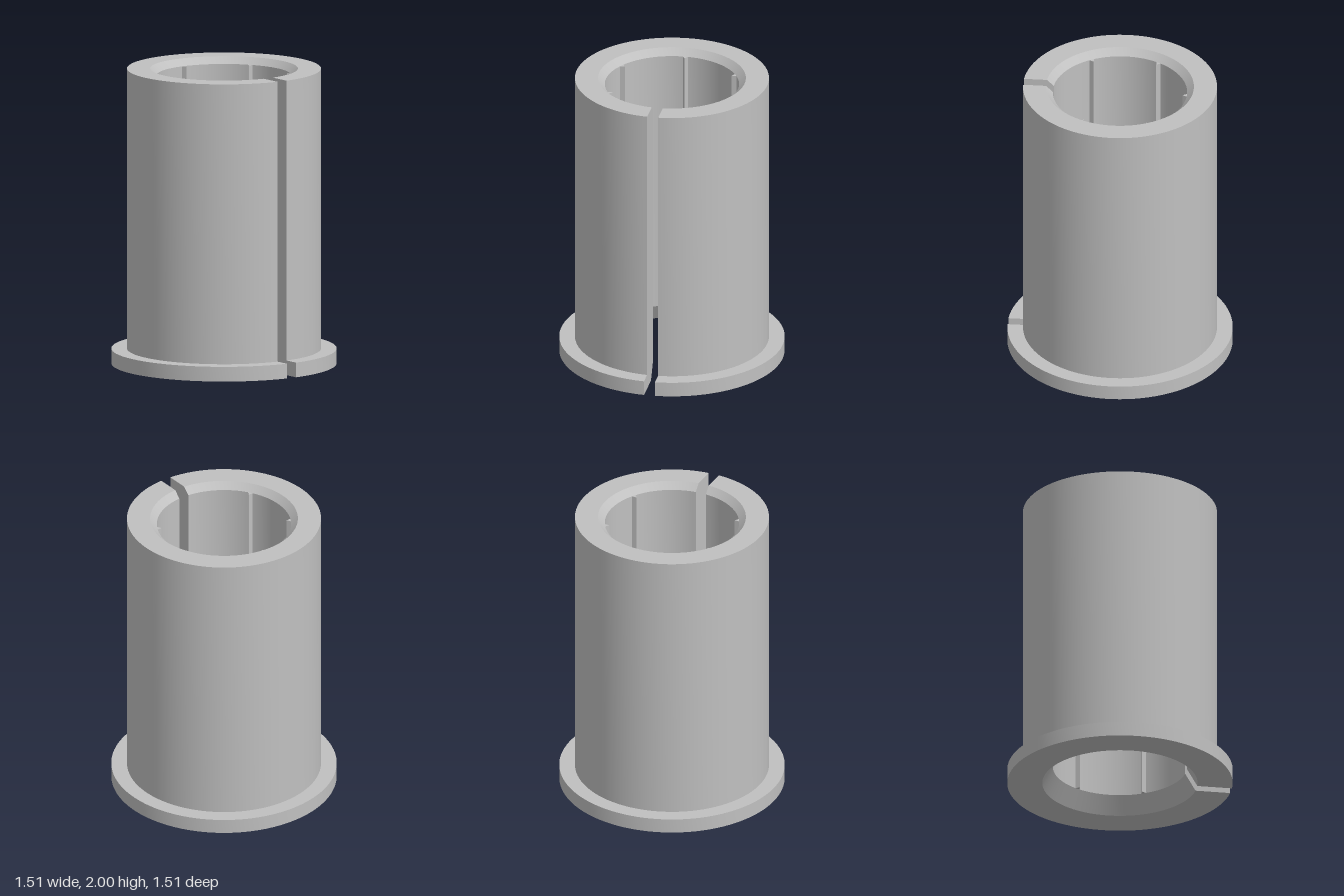
import * as THREE from 'three';

const HALF_SLOT = 0.0375;
const SEGMENTS = 96;

// Closed section, counter-clockwise: [radius, height, name of the surface that starts here]
const PROFILE = [
  [0.52, 0, 'flangeUnderside'],
  [0.755, 0, 'flangeRim'],
  [0.755, 0.1, 'flangeTop'],
  [0.65, 0.1, 'sleeveOuterWall'],
  [0.65, 2, 'sleeveTopRing'],
  [0.495, 2, 'topChamfer'],
  [0.45, 1.955, 'boreWall'],
  [0.45, 0.12, 'bottomChamfer'],
];

// Revolve one edge of the section, stopping at the parallel sides of the slot
function slottedBand(a, b) {
  const geo = new THREE.LatheGeometry(
    [new THREE.Vector2(a[0], a[1]), new THREE.Vector2(b[0], b[1])], SEGMENTS);
  const pos = geo.attributes.position;
  for (let i = 0; i < pos.count; i++) {
    const r = (i % 2 ? b : a)[0];
    const t = Math.floor(i / 2) / SEGMENTS;
    const start = Math.asin(HALF_SLOT / r);
    const phi = start + t * (2 * Math.PI - 2 * start);
    pos.setXYZ(i, r * Math.sin(phi), pos.getY(i), r * Math.cos(phi));
  }
  geo.computeVertexNormals();
  return geo;
}

// Flat cut face on one side of the slot
function slotFace(side) {
  const pts = PROFILE.map(([r, y]) =>
    new THREE.Vector2(side * Math.sqrt(r * r - HALF_SLOT * HALF_SLOT), y));
  const geo = new THREE.ShapeGeometry(new THREE.Shape(pts));
  geo.rotateY(-side * Math.PI / 2);
  geo.translate(side * HALF_SLOT, 0, 0);
  return geo;
}

// Triangular rib on the back of the bore, pointing at the axis
function ribGeometry() {
  const shape = new THREE.Shape([
    new THREE.Vector2(-0.017, 0.45),
    new THREE.Vector2(0, 0.421),
    new THREE.Vector2(0.017, 0.45),
  ]);
  const geo = new THREE.ExtrudeGeometry(shape, { depth: 1.835, bevelEnabled: false });
  geo.rotateX(-Math.PI / 2);
  geo.translate(0, 0.12, 0);
  return geo;
}

export function createModel() {
  const group = new THREE.Group();
  const grey = new THREE.MeshStandardMaterial({ color: 0xc0c0c0 });
  grey.name = 'light grey';

  const add = (geo, name) => {
    const mesh = new THREE.Mesh(geo, grey);
    mesh.name = name;
    group.add(mesh);
    return mesh;
  };

  // Flanged sleeve
  PROFILE.forEach((p, i) => add(slottedBand(p, PROFILE[(i + 1) % PROFILE.length]), p[2]));

  // Slot walls
  add(slotFace(1), 'leftSlotWall');
  add(slotFace(-1), 'rightSlotWall');

  // Five ribs at 60 degree steps, the sixth place being the slot
  const rib = ribGeometry();
  for (let i = -2; i <= 2; i++) add(rib, 'boreRib').rotation.y = i * Math.PI / 3;

  return group;
}
